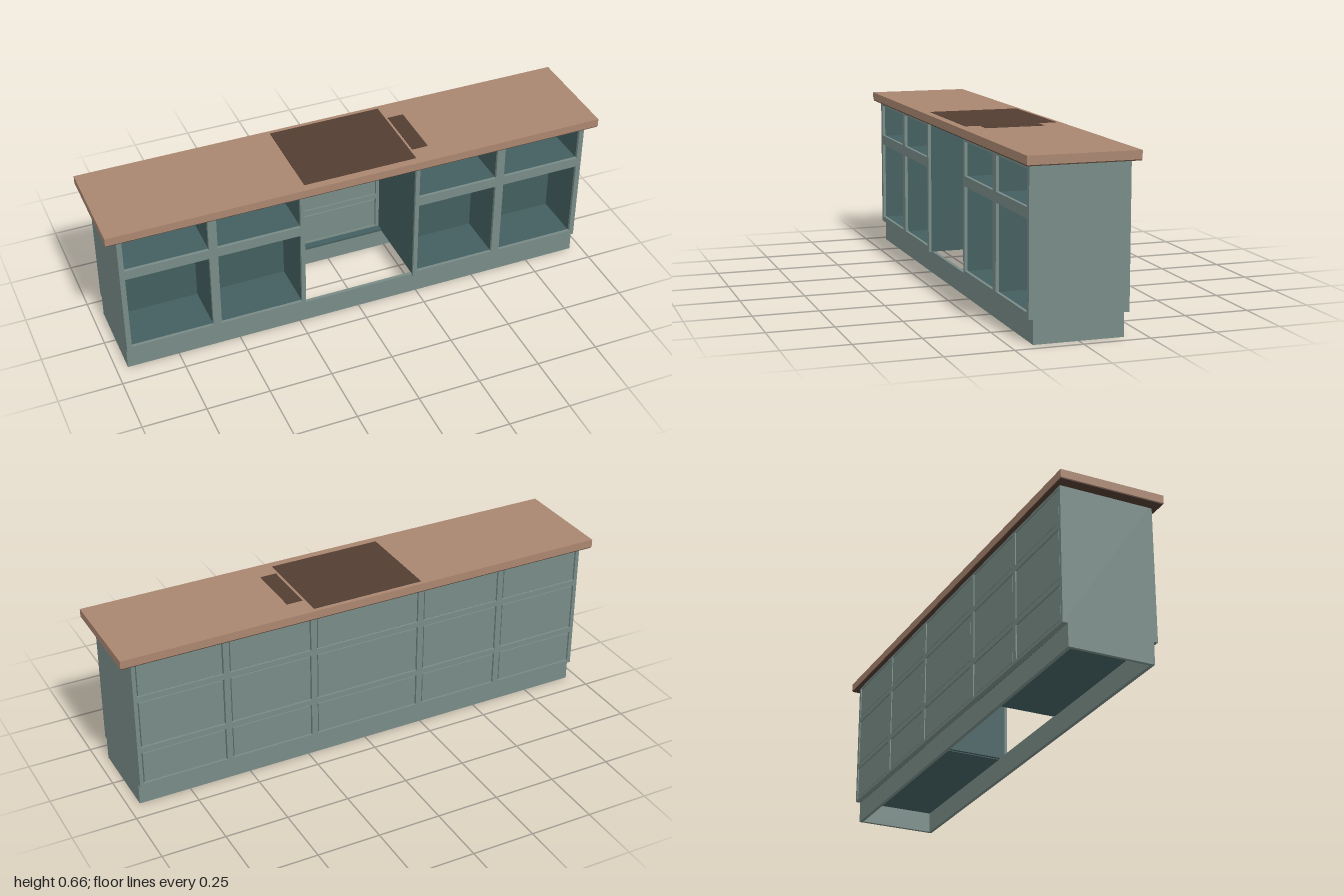
import * as THREE from 'three';

const mat = (name, color) => {
  const m = new THREE.MeshStandardMaterial({ color });
  m.name = name;
  return m;
};

export function createModel() {
  const paint = mat('greyGreenPaint', 0x788b86);
  const lining = mat('darkTealLining', 0x435e5f);
  const wood = mat('woodTop', 0xa98670);
  const dark = mat('darkBrown', 0x523d31);

  const island = new THREE.Group();
  island.name = 'kitchenIsland';

  // box given by its minimum and maximum on each axis
  const box = (parent, name, material, x0, x1, y0, y1, z0, z1) => {
    const mesh = new THREE.Mesh(new THREE.BoxGeometry(Math.abs(x1 - x0), y1 - y0, z1 - z0), material);
    mesh.position.set((x0 + x1) / 2, (y0 + y1) / 2, (z0 + z1) / 2);
    mesh.name = name;
    parent.add(mesh);
    return mesh;
  };

  // flat frame in the xy plane with rectangular openings [x0, x1, y0, y1]
  const rect = (path, [x0, x1, y0, y1]) =>
    path.moveTo(x0, y0).lineTo(x1, y0).lineTo(x1, y1).lineTo(x0, y1).closePath();
  const frame = (parent, name, outer, openings, z, depth) => {
    const shape = new THREE.Shape();
    rect(shape, outer);
    for (const o of openings) {
      const hole = new THREE.Path();
      rect(hole, o);
      shape.holes.push(hole);
    }
    const mesh = new THREE.Mesh(new THREE.ExtrudeGeometry(shape, { depth, bevelEnabled: false }), paint);
    mesh.position.z = z;
    mesh.name = name;
    parent.add(mesh);
  };

  // worktop with dark underside, hob and vent
  const top = new THREE.Group();
  top.name = 'worktop';
  island.add(top);
  box(top, 'worktopSlab', wood, -1, 1, 0.628, 0.66, -0.208, 0.208);
  box(top, 'worktopUnderside', dark, -0.998, 0.998, 0.624, 0.628, -0.206, 0.206);
  box(top, 'hob', dark, -0.225, 0.23, 0.659, 0.6615, -0.19, 0.175);
  box(top, 'vent', dark, 0.24, 0.305, 0.659, 0.6615, -0.115, 0.118);

  // hollow plinth ring
  const plinth = new THREE.Group();
  plinth.name = 'plinth';
  island.add(plinth);
  for (const s of [-1, 1]) {
    const z = s * 0.161;
    box(plinth, 'plinthBoard', paint, -0.955, 0.955, 0, 0.088, z - 0.007, z + 0.007);
    box(plinth, 'plinthEnd', paint, s * 0.942, s * 0.955, 0, 0.088, -0.154, 0.154);
  }

  // one cabinet on each side of the open middle bay
  for (const s of [-1, 1]) {
    const cab = new THREE.Group();
    cab.name = s > 0 ? 'leftCabinet' : 'rightCabinet';
    island.add(cab);
    box(cab, 'endPanel', paint, s * 0.942, s * 0.955, 0.088, 0.625, -0.185, 0.172);
    box(cab, 'endLining', lining, s * 0.935, s * 0.942, 0.095, 0.62, -0.168, 0.172);
    box(cab, 'innerWall', lining, s * 0.232, s * 0.244, 0.088, 0.624, -0.168, 0.172);
    box(cab, 'divider', lining, s * 0.577, s * 0.608, 0.1, 0.615, -0.02, 0.172);
    box(cab, 'bottomPanel', lining, s * 0.244, s * 0.942, 0.085, 0.108, -0.168, 0.172);
    box(cab, 'shelf', lining, s * 0.244, s * 0.938, 0.437, 0.473, -0.02, 0.172);
    box(cab, 'topPanel', lining, s * 0.244, s * 0.938, 0.607, 0.623, -0.168, 0.172);
    box(cab, 'backPanel', lining, s * 0.244, s * 0.938, 0.1, 0.615, -0.03, -0.02);

    // front face frame with four openings
    const openings = [];
    for (const [a, b] of [[0.246, 0.576], [0.61, 0.935]]) {
      for (const [y0, y1] of [[0.11, 0.435], [0.475, 0.606]]) {
        openings.push([Math.min(s * a, s * b), Math.max(s * a, s * b), y0, y1]);
      }
    }
    const xs = [s * 0.229, s * 0.955].sort((p, q) => p - q);
    frame(cab, 'frontFrame', [...xs, 0.088, 0.625], openings, 0.172, 0.012);
  }

  // back: face frame with inset drawer fronts, five columns by three rows
  const back = new THREE.Group();
  back.name = 'backDrawers';
  island.add(back);
  const columns = [[-0.94, -0.6], [-0.576, -0.242], [-0.218, 0.218], [0.242, 0.576], [0.6, 0.94]];
  const rows = [[0.1, 0.237], [0.26, 0.457], [0.48, 0.616]];
  const cells = columns.flatMap(([x0, x1]) => rows.map(([y0, y1]) => [x0, x1, y0, y1]));
  frame(back, 'backFrame', [-0.955, 0.955, 0.088, 0.625], cells, -0.188, 0.02);
  const g = 0.005;
  for (const [x0, x1, y0, y1] of cells) {
    box(back, 'drawerFront', paint, x0 + g, x1 - g, y0 + g, y1 - g, -0.186, -0.168);
    // recessed shadow gap round the drawer
    box(back, 'drawerGap', lining, x0, x1, y0, y1, -0.179, -0.175);
  }
  box(back, 'rearLedge', lining, -0.232, 0.232, 0.086, 0.094, -0.168, -0.14);

  return island;
}
